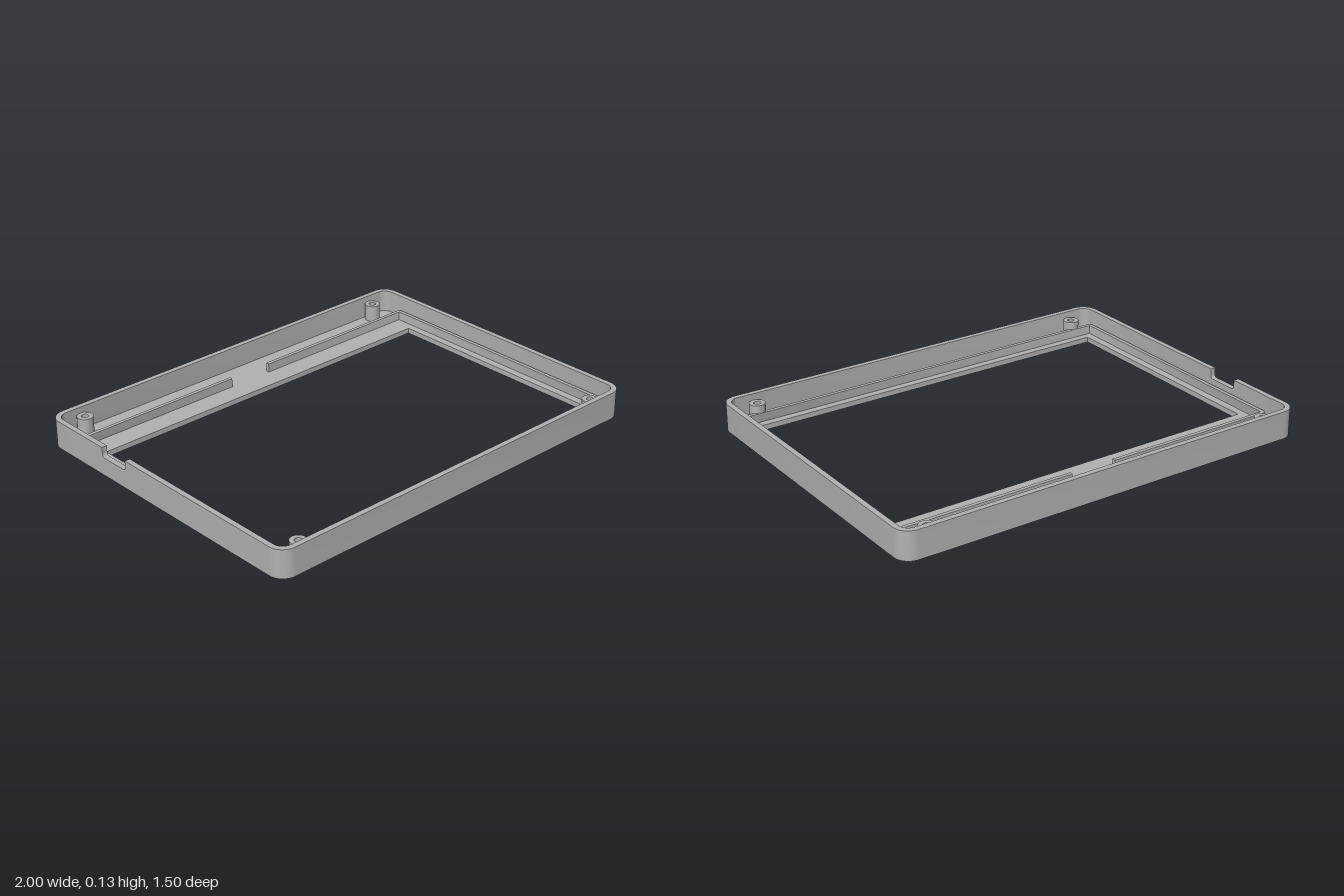
import * as THREE from 'three';
import { toCreasedNormals } from 'three/addons/utils/BufferGeometryUtils.js';

const FLOOR = 0.025, TOP = 0.13, WALL = 0.025;
const V = (x, z) => new THREE.Vector2(x, z);

// Rounded rectangle in plan (x, z), beginning at corner number `start`
function roundedRect(x0, x1, z0, z1, r, start = 0, steps = 10) {
  const centres = [[x0 + r, z1 - r], [x1 - r, z1 - r], [x1 - r, z0 + r], [x0 + r, z0 + r]];
  const pts = [];
  for (let i = 0; i < 4; i++) {
    const k = (start + i) % 4;
    for (let s = 0; s <= steps; s++) {
      const a = Math.PI - (k + s / steps) * Math.PI / 2;
      pts.push(V(centres[k][0] + r * Math.cos(a), centres[k][1] + r * Math.sin(a)));
    }
  }
  return pts;
}

// Plan shape raised from y0 to y1
function raise(shape, y0, y1) {
  const g = new THREE.ExtrudeGeometry(shape, { depth: y1 - y0, bevelEnabled: false, curveSegments: 32 });
  g.rotateX(Math.PI / 2).translate(0, y1, 0);
  return toCreasedNormals(g, 0.5);
}

export function createModel() {
  const group = new THREE.Group();
  const grey = new THREE.MeshStandardMaterial({ color: 0xb2b2b2 });
  grey.name = 'grey plastic';
  const add = (name, geometry) => {
    const mesh = new THREE.Mesh(geometry, grey);
    mesh.name = name;
    group.add(mesh);
    return mesh;
  };

  // Face plate with the screen opening
  const plate = new THREE.Shape(roundedRect(-1, 1, -0.75, 0.75, 0.07));
  plate.holes.push(new THREE.Path([V(-0.905, -0.485), V(0.902, -0.485), V(0.902, 0.612), V(-0.905, 0.612)]));
  add('facePlate', raise(plate, 0, FLOOR));

  // Outer wall, left open where the notched panel fits
  const zA = -0.5, zB = 0, xi = 1 - WALL;
  const outer = roundedRect(-1, 1, -0.75, 0.75, 0.07);
  const inner = roundedRect(-xi, xi, -0.75 + WALL, 0.75 - WALL, 0.045);
  add('outerWall', raise(new THREE.Shape([
    V(-1, zB), ...outer, V(-1, zA), V(-xi, zA), ...inner.reverse(), V(-xi, zB),
  ]), FLOOR, TOP));

  // Wall panel with the cable notch, drawn in (z, y)
  const n0 = -0.37, n1 = -0.215, nb = 0.085, r = 0.015;
  const panel = new THREE.Shape();
  panel.moveTo(zA, FLOOR);
  panel.lineTo(zB, FLOOR);
  panel.lineTo(zB, TOP);
  panel.lineTo(n1, TOP);
  panel.lineTo(n1, nb + r);
  panel.quadraticCurveTo(n1, nb, n1 - r, nb);
  panel.lineTo(n0 + r, nb);
  panel.quadraticCurveTo(n0, nb, n0, nb + r);
  panel.lineTo(n0, TOP);
  panel.lineTo(zA, TOP);
  const panelGeo = new THREE.ExtrudeGeometry(panel, { depth: WALL, bevelEnabled: false, curveSegments: 8 });
  panelGeo.rotateY(-Math.PI / 2).translate(-xi, 0, 0);
  add('notchedWallPanel', toCreasedNormals(panelGeo, 0.5));

  // Locating rib round the opening, with a gap at the back
  const ribOut = roundedRect(-0.96, 0.957, -0.605, 0.665, 0.018, 3, 5);
  const ribIn = roundedRect(-0.942, 0.939, -0.588, 0.647, 0.003, 3, 2);
  add('locatingRib', raise(new THREE.Shape([
    V(-0.12, -0.605), ...ribOut, V(0.098, -0.605), V(0.098, -0.588), ...ribIn.reverse(), V(-0.12, -0.588),
  ]), FLOOR, 0.066));

  // Four hollow screw posts
  const ring = new THREE.Shape().absarc(0, 0, 0.036, 0, Math.PI * 2);
  ring.holes.push(new THREE.Path().absarc(0, 0, 0.016, 0, Math.PI * 2, true));
  const postGeo = raise(ring, FLOOR, 0.102);
  for (const x of [-0.857, 0.855])
    for (const z of [-0.69, 0.685])
      add('screwPost', postGeo).position.set(x, 0, z);

  return group;
}
